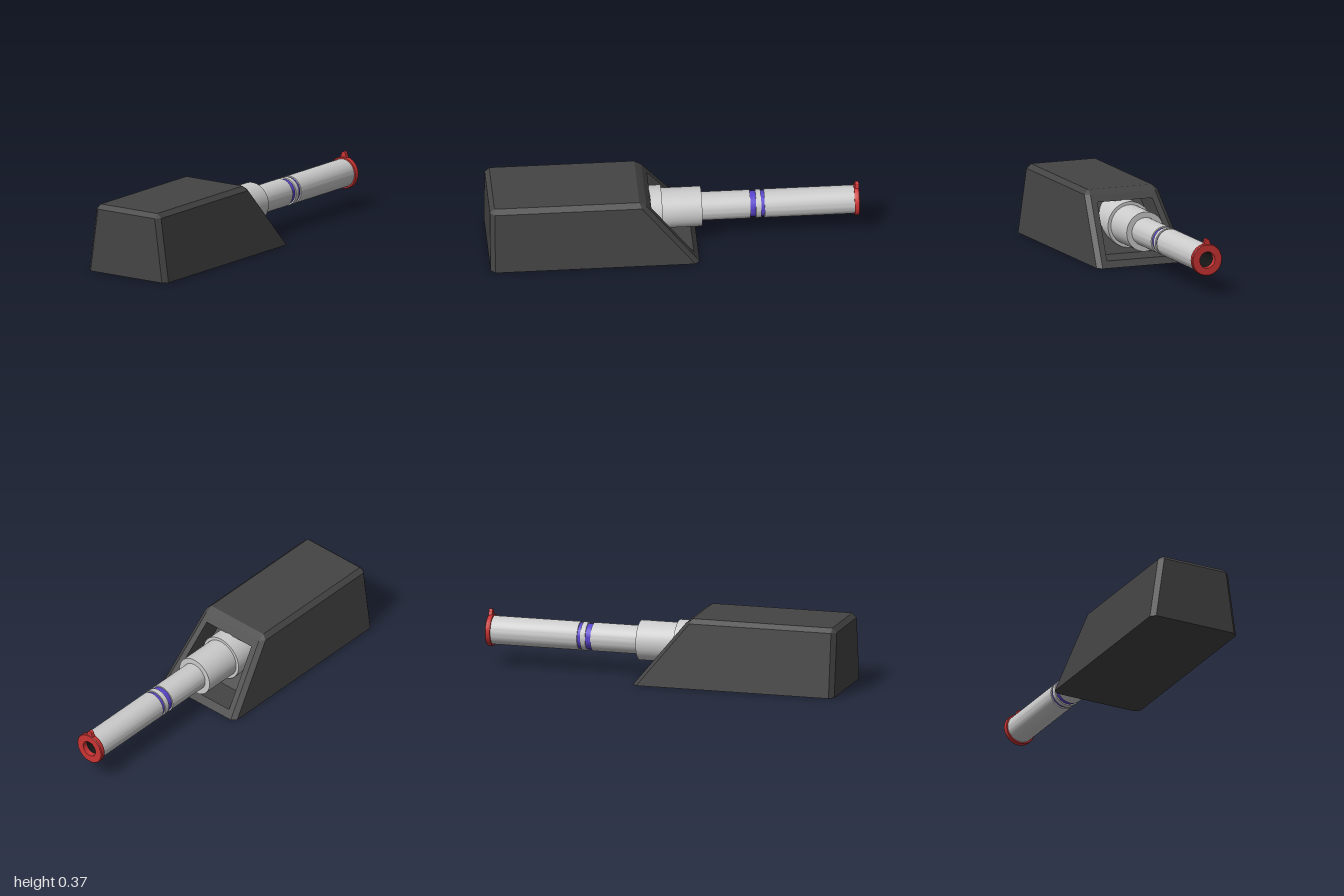
import * as THREE from 'three';
import { toCreasedNormals } from 'three/addons/utils/BufferGeometryUtils.js';

const AXIS_Y = 0.19;
const grey = new THREE.MeshStandardMaterial({ color: 0xcccccc });
const red = new THREE.MeshStandardMaterial({ color: 0xcc3333 });
const blue = new THREE.MeshStandardMaterial({ color: 0x5a45d0 });
const black = new THREE.MeshStandardMaterial({ color: 0x151515 });
const dark = new THREE.MeshStandardMaterial({ color: 0x444444, flatShading: true });

// Stitches closed loops of equal length; skip names an edge left open between the first two.
function stitch(out, loops, skip = -1) {
  for (let k = 0; k + 1 < loops.length; k++) {
    const a = loops[k], b = loops[k + 1], n = a.length;
    for (let i = 0; i < n; i++) {
      if (k === 0 && i === skip) continue;
      const j = (i + 1) % n;
      out.push(a[i], a[j], b[j], a[i], b[j], b[i]);
    }
  }
}

function cap(out, loop) {
  for (let i = 1; i + 1 < loop.length; i++) out.push(loop[0], loop[i], loop[i + 1]);
}

// Horizontal rectangle with chamfered corners, counter-clockwise from above
const ring = (y, hx, zb, zf, c) => [
  [hx, y, zf - c], [hx, y, zb + c], [hx - c, y, zb], [c - hx, y, zb],
  [-hx, y, zb + c], [-hx, y, zf - c], [c - hx, y, zf], [hx - c, y, zf],
];

// Trapezoid on the sloping back plane, pushed inwards by depth
function trapezoid(y0, x0, y1, x1, depth) {
  const z = (y) => -0.125 + 0.814 * y + depth;
  return [[x0, y0, z(y0)], [-x0, y0, z(y0)], [-x1, y1, z(y1)], [x1, y1, z(y1)]];
}

function housingGeometry() {
  const tris = [];
  const base = ring(0, 0.262, -0.125, 1, 0.025);
  const shoulder = ring(0.348, 0.213, 0.158, 1, 0.025);
  const top = ring(0.372, 0.187, 0.195, 0.975, 0.002);
  stitch(tris, [base, shoulder, top], 2);
  cap(tris, top);
  cap(tris, [...base].reverse());
  // Framed recess in the sloping back
  const outer = [base[2], base[3], shoulder[3], shoulder[2]];
  const mouth = trapezoid(0.035, 0.2, 0.312, 0.16, 0);
  const floor = trapezoid(0.04, 0.178, 0.307, 0.142, 0.14);
  stitch(tris, [outer, mouth, floor]);
  cap(tris, floor);
  const geo = new THREE.BufferGeometry();
  geo.setAttribute('position', new THREE.Float32BufferAttribute(tris.flat(), 3));
  geo.computeVertexNormals();
  return geo;
}

// Profile of [radius, distance towards the back], turned about the barrel axis
function turned(name, profile, material) {
  const lathe = new THREE.LatheGeometry(profile.map(([r, d]) => new THREE.Vector2(r, d)), 48);
  lathe.rotateX(-Math.PI / 2);
  const mesh = new THREE.Mesh(toCreasedNormals(lathe, 0.6), material);
  mesh.name = name;
  mesh.position.y = AXIS_Y;
  return mesh;
}

export function createModel() {
  const model = new THREE.Group();
  const housing = new THREE.Mesh(housingGeometry(), dark);
  housing.name = 'housing';
  model.add(housing);

  // Mounting flange and sleeve
  model.add(turned('sleeve', [
    [0, -0.27], [0.125, -0.27], [0.125, -0.065], [0.108, -0.065], [0.108, 0.15], [0.07, 0.15],
  ], grey));

  // Barrel sections separated by two grooves
  const R = 0.077;
  for (const [i, [a, b]] of [[0.14, 0.412], [0.442, 0.47], [0.488, 0.98]].entries()) {
    model.add(turned('barrelSection' + (i + 1), [[0.045, a], [R, a], [R, b], [0.045, b]], grey));
  }
  for (const [i, [a, b]] of [[0.41, 0.444], [0.468, 0.49]].entries()) {
    model.add(turned('grooveBand' + (i + 1), [[0.07, a], [0.07, b]], blue));
  }

  // Hollow bore
  model.add(turned('bore', [[0.045, 0.98], [0.045, 0.6], [0, 0.6]], black));

  // End ring
  model.add(turned('endRing', [
    [0.044, 0.972], [0.085, 0.972], [0.087, 0.976], [0.087, 0.996], [0.083, 1],
    [0.044, 1], [0.044, 0.972],
  ], red));

  // Rounded sight tab on top of the ring
  const shape = new THREE.Shape();
  shape.moveTo(-0.022, 0.08);
  shape.lineTo(0.022, 0.08);
  shape.lineTo(0.013, 0.103);
  shape.absarc(0, 0.103, 0.013, 0, Math.PI, false);
  shape.closePath();
  const tab = new THREE.Mesh(
    new THREE.ExtrudeGeometry(shape, { depth: 0.02, bevelEnabled: false, curveSegments: 10 }), red);
  tab.name = 'sightTab';
  tab.position.set(0, AXIS_Y, -0.998);
  model.add(tab);
  return model;
}
